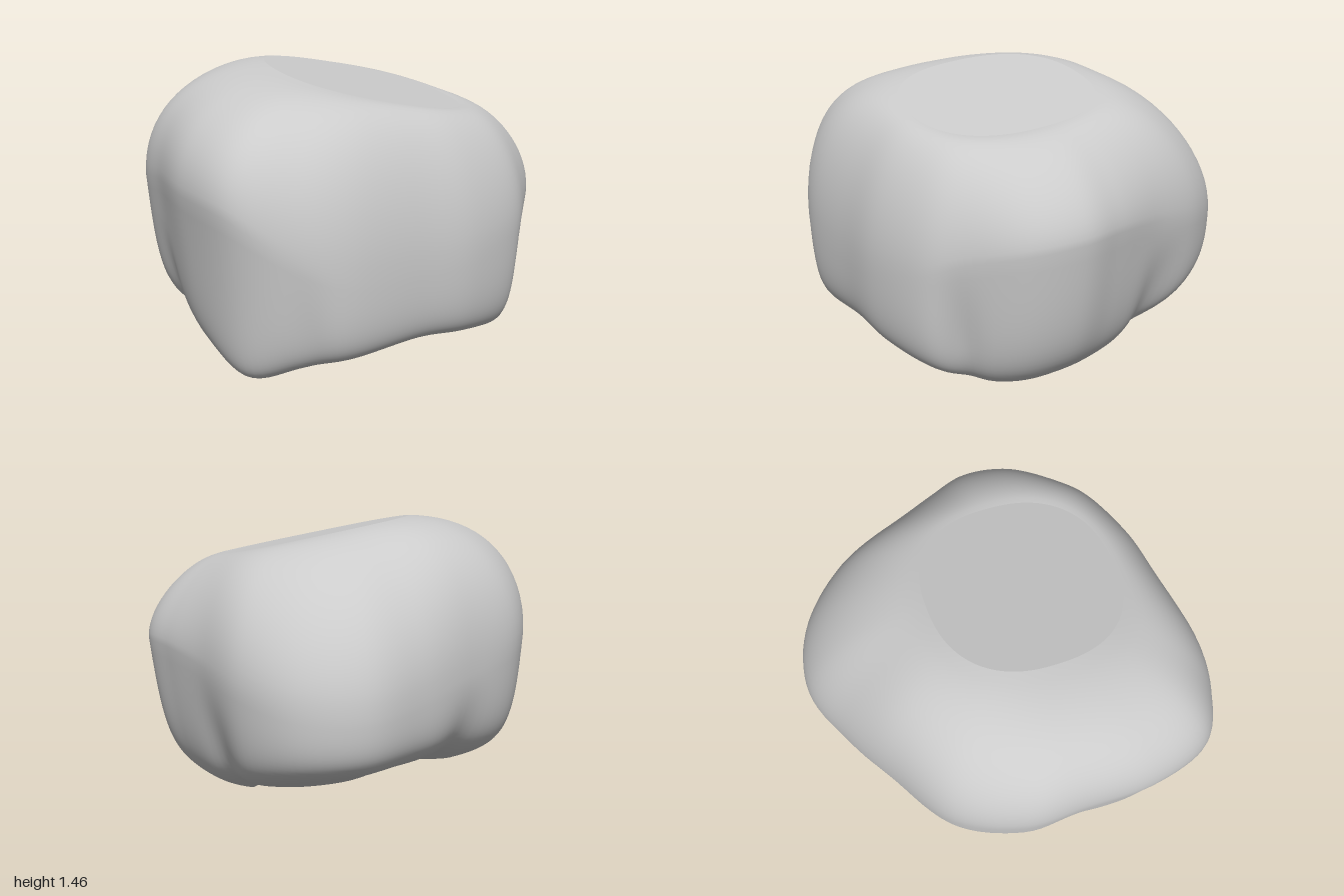
import * as THREE from 'three';

// Columns around the boulder: widest x, widest z, height there, underside height, underside inset (0..1), wall slant
const COLUMNS = [
  [0.15, -1.0, 0.66, 0.23, 0.64, 0], [0.45, -0.92, 0.68, 0.22, 0.68, 0], [0.67, -0.68, 0.74, 0.2, 0.74, 0.02],
  [0.8, -0.33, 0.8, 0.07, 0.6, 0.05], [0.91, -0.06, 0.83, 0.02, 0.5, 0.07], [0.98, 0.17, 0.83, 0.0, 0.4, 0.07],
  [0.93, 0.43, 0.8, 0.02, 0.48, 0.07], [0.75, 0.66, 0.74, 0.07, 0.64, 0.05], [0.59, 0.81, 0.66, 0.14, 0.74, 0],
  [0.3, 0.92, 0.62, 0.19, 0.76, 0], [0.0, 0.96, 0.6, 0.22, 0.76, 0], [-0.4, 1.0, 0.62, 0.2, 0.78, 0],
  [-0.67, 0.93, 0.74, 0.17, 0.8, 0.04], [-0.89, 0.77, 0.9, 0.11, 0.82, 0.1], [-0.98, 0.45, 0.94, 0.17, 0.78, 0.08],
  [-0.97, 0.1, 0.94, 0.2, 0.74, 0.06], [-0.95, -0.2, 0.9, 0.2, 0.72, 0.04], [-0.78, -0.52, 0.84, 0.21, 0.72, 0.02],
  [-0.45, -0.73, 0.76, 0.25, 0.7, 0], [-0.15, -0.89, 0.7, 0.25, 0.66, 0],
];
// Vertical creases between the lower lobes: direction x, direction z, depth, width
const CREASES = [
  [0.78, 0.62, 0.03, 0.11], [0.74, -0.67, 0.05, 0.15], [-0.5, -0.87, 0.045, 0.13],
  [-0.64, 0.77, 0.015, 0.08], [-1, -0.1, 0.025, 0.09],
];
const CX = 0.08, CZ = 0.16;
const SEGMENTS = 144, TOP = 18, SIDE = 24, UNDER = 16;

const facetHeight = (x, z) => 1.383 - 0.18 * x - 0.12 * z;
const closedCurve = (points) => new THREE.CatmullRomCurve3(points, true, 'catmullrom', 0.5);

// Points of a Bezier arc through pairs of radius and height, without the last point
function arc(count, ...pairs) {
  const curve = new THREE.CubicBezierCurve(...pairs.map(([r, y]) => new THREE.Vector2(r, y)));
  return curve.getPoints(count).slice(0, count);
}

// One column of points from the facet edge, over the shoulder, down the wall and under to the middle
function column(outline, base) {
  const dx = outline.x - CX, dz = outline.z - CZ;
  const R = Math.hypot(dx, dz), ux = dx / R, uz = dz / R;
  const rim = 0.47 / Math.pow(Math.abs(ux) ** 2.4 + Math.abs(uz) ** 2.4, 1 / 2.4);
  const rimY = facetHeight(CX + ux * rim, CZ + uz * rim);
  const inset = base.x * R, low = base.y, slant = base.z, mid = outline.y;

  let pinch = 0, fullness = 0;
  for (const [cx, cz, depth, width] of CREASES) {
    const angle = Math.atan2(ux * cz - uz * cx, ux * cx + uz * cz);
    pinch += depth * Math.exp(-((angle / width) ** 2));
    fullness += 2 * depth * Math.exp(-((angle / 0.3) ** 2));
  }

  // Shoulder, filled out above the creases
  const k = 0.5 - 0.08 * ux + 0.02 * uz + fullness;
  const profile = arc(TOP, [rim, rimY], [rim + (R - rim) * k, rimY], [R, mid + (rimY - mid) * k], [R, mid]);
  // Lower wall curling under a sloping rim
  const turn = (R - inset) * 0.8, slope = 0.25 - 0.25 * uz;
  profile.push(...arc(SIDE, [R, mid], [R - slant, mid + (low - mid) * (0.76 + 0.06 * uz)],
    [inset + turn, low + turn * slope], [inset, low]));
  // Hollow, uneven underside
  for (let j = 0; j <= UNDER; j++) {
    const s = j / UNDER, r = inset * (1 - s);
    const x = CX + ux * r, z = CZ + uz * r;
    const bumps = 0.025 * Math.sin(9 * x + 2) * Math.sin(8 * z + 1) * Math.sin(Math.PI * s);
    profile.push(new THREE.Vector2(r, THREE.MathUtils.lerp(low, 0.25, THREE.MathUtils.smoothstep(s, 0, 0.9)) + bumps));
  }

  // Pinch the lower half along the creases
  return profile.map(({ x, y }) => {
    const fade = THREE.MathUtils.smoothstep(0.75 - y, 0, 0.45) * THREE.MathUtils.smoothstep(x / R, 0.4, 0.8);
    const r = x - pinch * fade;
    return new THREE.Vector3(CX + ux * r, y, CZ + uz * r);
  });
}

function buildGeometry(points, index) {
  const geometry = new THREE.BufferGeometry().setFromPoints(points);
  geometry.setIndex(index);
  geometry.computeVertexNormals();
  return geometry;
}

export function createModel() {
  const outline = closedCurve(COLUMNS.map(([x, z, y]) => new THREE.Vector3(x, y, z)));
  const base = closedCurve(COLUMNS.map((c) => new THREE.Vector3(c[4], c[3], c[5])));
  const columns = [];
  for (let i = 0; i < SEGMENTS; i++) {
    columns.push(column(outline.getPoint(i / SEGMENTS), base.getPoint(i / SEGMENTS)));
  }
  const lowest = Math.min(...columns.flat().map((p) => p.y));

  // Rounded body
  const rows = columns[0].length, bodyIndex = [];
  for (let i = 0; i < SEGMENTS; i++) {
    const a = i * rows, b = ((i + 1) % SEGMENTS) * rows;
    for (let j = 0; j < rows - 1; j++) {
      bodyIndex.push(a + j, b + j, a + j + 1);
      if (j < rows - 2) bodyIndex.push(b + j, b + j + 1, a + j + 1);
    }
  }

  // Flat sloping facet on top
  const rim = columns.map((c) => c[0].clone());
  const facetIndex = [];
  for (let i = 0; i < SEGMENTS; i++) facetIndex.push(SEGMENTS, (i + 1) % SEGMENTS, i);
  rim.push(new THREE.Vector3(CX, facetHeight(CX, CZ), CZ));

  const material = new THREE.MeshStandardMaterial({ color: 0xcccccc, roughness: 0.9 });
  const body = new THREE.Mesh(buildGeometry(columns.flat(), bodyIndex), material);
  body.name = 'boulderBody';
  const facet = new THREE.Mesh(buildGeometry(rim, facetIndex), material);
  facet.name = 'topFacet';

  const group = new THREE.Group();
  group.name = 'boulder';
  for (const mesh of [body, facet]) {
    mesh.geometry.translate(0, -lowest, 0);
    group.add(mesh);
  }
  return group;
}
